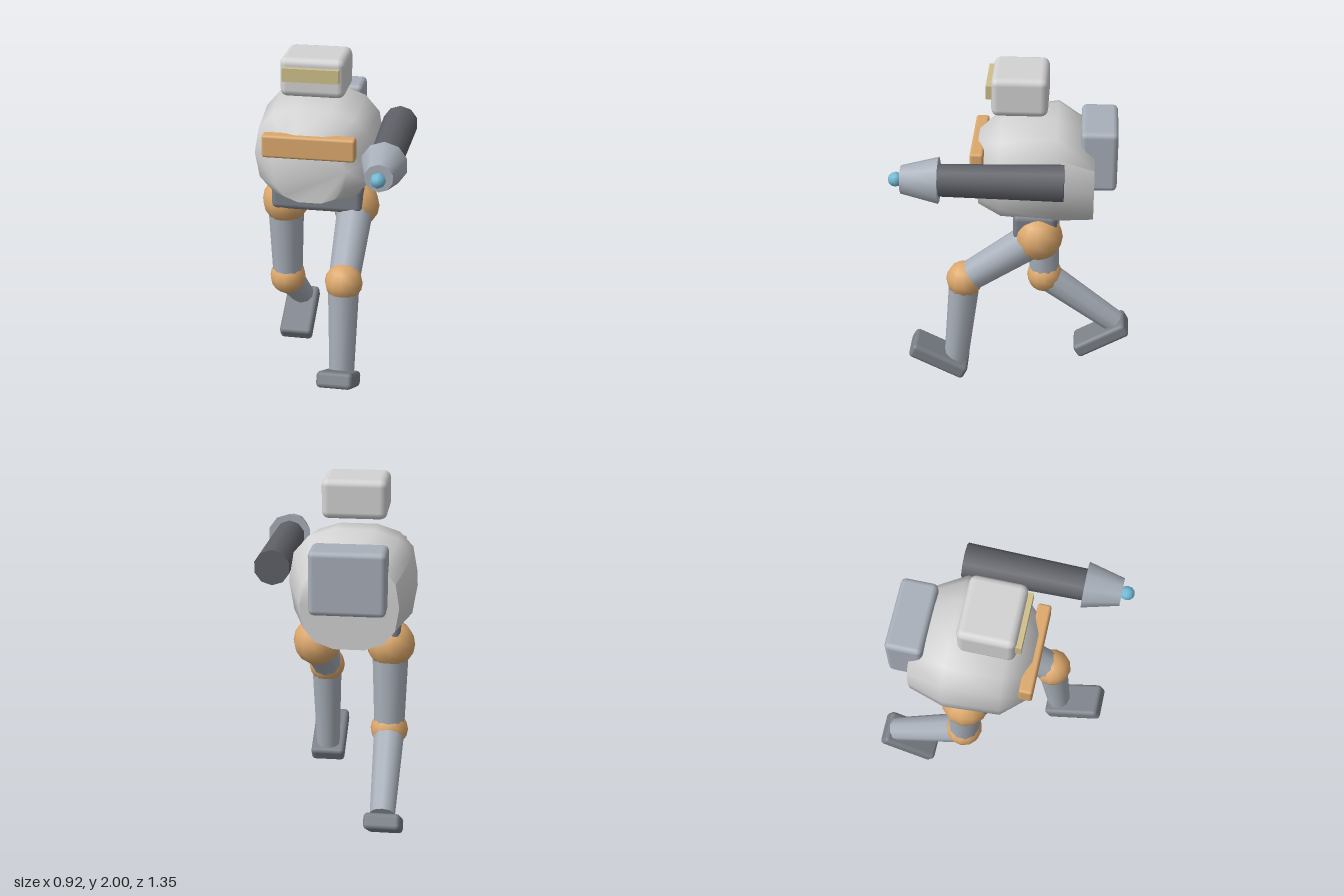
import * as THREE from 'three';
import { toCreasedNormals } from 'three/addons/utils/BufferGeometryUtils.js';
import { RoundedBoxGeometry } from 'three/addons/geometries/RoundedBoxGeometry.js';

const material = (name, color) => {
  const m = new THREE.MeshStandardMaterial({ color });
  m.name = name;
  return m;
};

// Closed shell lofted from superellipse rings [z, halfWidth, yBottom, yTop]
function loftGeometry(rings, sides, power) {
  const pos = [], index = [];
  const curve = (v) => Math.sign(v) * Math.abs(v) ** power;
  for (const [z, hw, y0, y1] of rings) {
    for (let j = 0; j < sides; j++) {
      const a = (j / sides) * Math.PI * 2;
      pos.push(hw * curve(Math.cos(a)), (y0 + y1) / 2 + ((y1 - y0) / 2) * curve(Math.sin(a)), z);
    }
  }
  for (let i = 0; i < rings.length - 1; i++) {
    for (let j = 0; j < sides; j++) {
      const k = (j + 1) % sides;
      const a = i * sides + j, b = i * sides + k, c = b + sides, d = a + sides;
      index.push(a, b, c, a, c, d);
    }
  }
  const last = (rings.length - 1) * sides;
  for (let j = 1; j < sides - 1; j++) {
    index.push(0, j + 1, j, last, last + j, last + j + 1);
  }
  const geo = new THREE.BufferGeometry();
  geo.setAttribute('position', new THREE.Float32BufferAttribute(pos, 3));
  geo.setIndex(index);
  return toCreasedNormals(geo, 1.05);
}

export function createModel() {
  const root = new THREE.Group();
  root.name = 'walkingRobot';

  const shell = material('pale shell', 0xd2d2d2);
  const steel = material('blue grey steel', 0xa8afb9);
  const gunmetal = material('dark gunmetal', 0x5f6168);
  const sole = material('mid grey', 0x7b8088);
  const copper = material('copper orange', 0xdca86c);
  const visorGlass = material('visor yellow', 0xcfbf8b);
  const glow = material('muzzle blue', 0x72bad6);

  const add = (name, geo, mat, pos = [0, 0, 0], parent = root) => {
    const mesh = new THREE.Mesh(geo, mat);
    mesh.name = name;
    mesh.position.set(...pos);
    parent.add(mesh);
    return mesh;
  };
  const box = (name, size, radius, mat, pos, parent) =>
    add(name, new RoundedBoxGeometry(...size, 2, radius), mat, pos, parent);
  const ball = (name, r, mat, pos, parent, w = 12, h = 8) =>
    add(name, new THREE.SphereGeometry(r, w, h), mat, pos, parent);

  // Tapered cylinder running from one point to another
  const limb = (name, from, to, rFrom, rTo, mat, parent) => {
    const a = new THREE.Vector3(...from), b = new THREE.Vector3(...to);
    const dir = b.clone().sub(a);
    const mesh = add(name, new THREE.CylinderGeometry(rTo, rFrom, dir.length(), 10), mat, [0, 0, 0], parent);
    mesh.position.copy(a).add(b).multiplyScalar(0.5);
    mesh.quaternion.setFromUnitVectors(new THREE.Vector3(0, 1, 0), dir.normalize());
    return mesh;
  };

  // Torso, with everything mounted on its centre line
  const midX = -0.105;
  add('torso', loftGeometry([
    [-0.43, 0.27, 1.12, 1.62],
    [-0.22, 0.355, 1.13, 1.75],
    [0.09, 0.335, 1.15, 1.7],
    [0.22, 0.21, 1.19, 1.6],
  ], 14, 0.77), shell, [midX, 0, 0]);
  box('chestPlate', [0.52, 0.13, 0.075], 0.015, copper, [midX, 1.525, 0.218]);
  box('backpack', [0.415, 0.355, 0.205], 0.03, steel, [midX, 1.527, -0.453]);
  box('pelvis', [0.53, 0.16, 0.25], 0.035, sole, [midX, 1.133, -0.105]);

  // Head
  box('head', [0.36, 0.222, 0.31], 0.04, shell, [midX + 0.003, 1.889, -0.013]);
  add('visor', new THREE.BoxGeometry(0.312, 0.075, 0.04), visorGlass, [midX, 1.913, 0.15]);

  // Legs: left stepping forward, right pushing off behind
  const legs = [
    { side: 'left', x: 0.105, knee: [0.76, 0.3], ankle: [0.215, 0.36], foot: [0.227, 0.462], pitch: -0.47 },
    { side: 'right', x: -0.31, knee: [0.55, -0.15], ankle: [0.22, -0.585], foot: [0.125, -0.505], pitch: 0.53 },
  ];
  for (const { side, x, knee, ankle, foot, pitch } of legs) {
    const leg = new THREE.Group();
    leg.name = side + 'Leg';
    root.add(leg);
    const hip = [x, 1.06, -0.125];
    ball('hipJoint', 0.138, copper, hip, leg);
    limb('thigh', hip, [x, ...knee], 0.107, 0.088, steel, leg);
    ball('kneeJoint', 0.108, copper, [x, ...knee], leg);
    limb('shin', [x, ...knee], [x, ...ankle], 0.09, 0.072, steel, leg);
    box('foot', [0.204, 0.092, 0.358], 0.025, sole, [x - 0.001, ...foot], leg).rotation.x = pitch;
  }

  // Single left arm ending in a cannon
  const arm = new THREE.Group();
  arm.name = 'leftArm';
  root.add(arm);
  const ax = 0.338, ay = 1.525;
  limb('forearm', [ax, ay, -0.267], [ax, ay, 0.42], 0.101, 0.088, gunmetal, arm);
  limb('cannon', [ax, ay, 0.405], [ax, ay, 0.61], 0.128, 0.077, steel, arm);
  ball('muzzle', 0.042, glow, [ax, ay, 0.638], arm, 8, 6).rotation.x = Math.PI / 2;

  return root;
}
